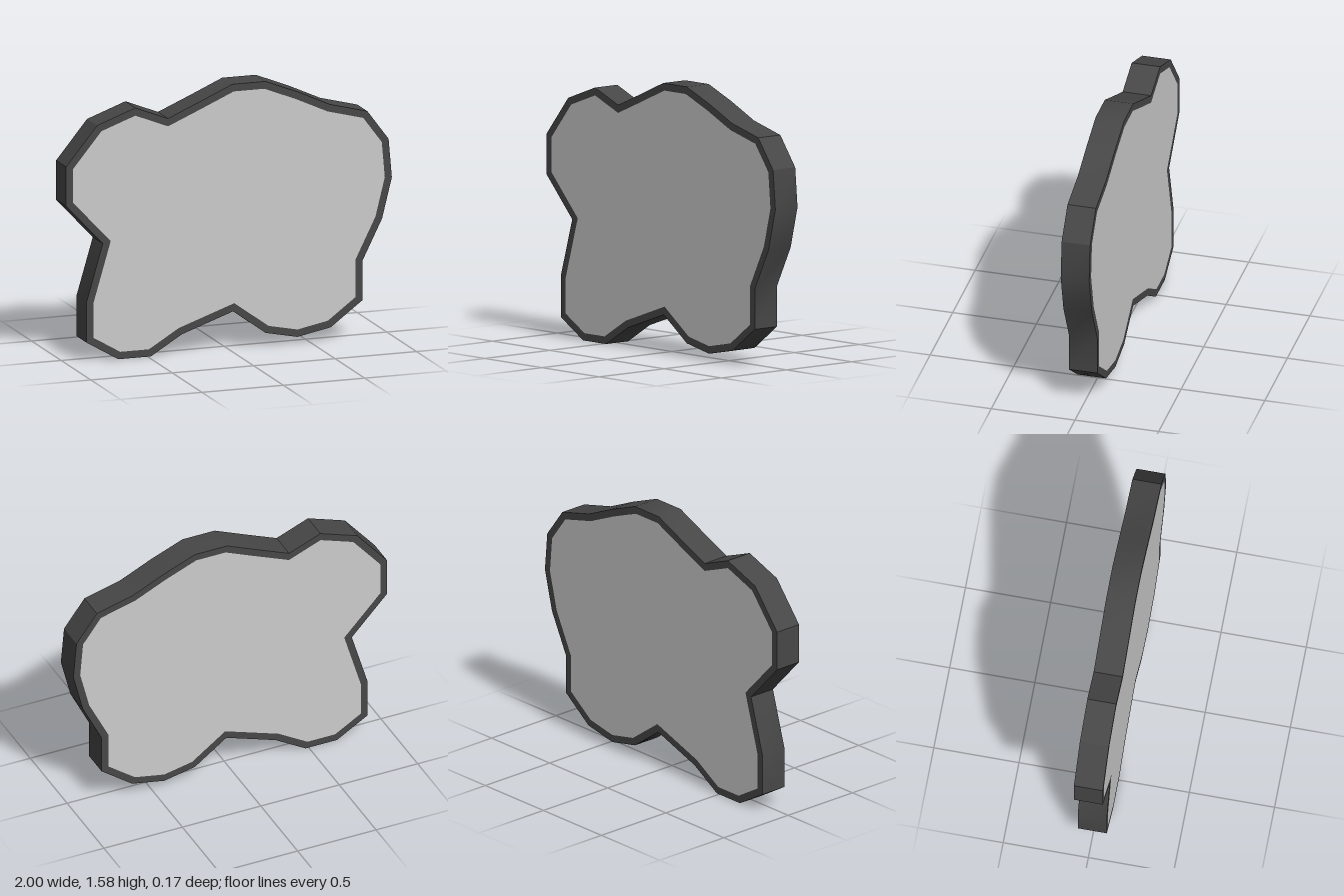
import * as THREE from 'three';
import { toCreasedNormals } from 'three/addons/utils/BufferGeometryUtils.js';

const DEPTH = 0.17;
const RIM = 0.043;

// Outer contour, clockwise seen from the front
const OUTLINE = [
  [-1, 1.17], [-0.81, 1.4], [-0.575, 1.485], [-0.375, 1.405], [-0.175, 1.49],
  [0.02, 1.575], [0.225, 1.575], [0.425, 1.495], [0.62, 1.405], [0.85, 1.345],
  [0.98, 1.17], [1, 0.94], [0.94, 0.7], [0.82, 0.46], [0.82, 0.225],
  [0.625, 0.08], [0.42, 0.04], [0.225, 0.08], [0.025, 0.225], [-0.29, 0.115],
  [-0.48, 0], [-0.68, 0], [-0.875, 0.115], [-0.875, 0.355], [-0.775, 0.695],
  [-1, 0.935],
].map(([x, y]) => new THREE.Vector2(x, y));

// Moves a clockwise contour inward by an even distance, with mitred corners
function inset(points, distance) {
  const n = points.length;
  const normal = (a, b) => {
    const d = b.clone().sub(a).normalize();
    return new THREE.Vector2(d.y, -d.x);
  };
  return points.map((p, i) => {
    const n1 = normal(points[(i + n - 1) % n], p);
    const n2 = normal(p, points[(i + 1) % n]);
    const miter = n1.clone().add(n2).divideScalar(1 + n1.dot(n2));
    return p.clone().addScaledVector(miter, distance);
  });
}

// Extrudes a shape centred on z = 0, smooth over shallow corners only
function slab(name, shape, color) {
  const geometry = new THREE.ExtrudeGeometry(shape, { depth: DEPTH, bevelEnabled: false });
  geometry.translate(0, 0, -DEPTH / 2);
  const mesh = new THREE.Mesh(
    toCreasedNormals(geometry, THREE.MathUtils.degToRad(30)),
    new THREE.MeshStandardMaterial({ color })
  );
  mesh.name = name;
  return mesh;
}

export function createModel() {
  const group = new THREE.Group();
  group.name = 'cloudPanel';
  const inner = inset(OUTLINE, RIM);

  // Dark border around the edge
  const rimShape = new THREE.Shape(OUTLINE);
  rimShape.holes.push(new THREE.Path(inner));
  group.add(slab('rim', rimShape, 0x474747));

  // Light core, flush with the border on both faces
  group.add(slab('panel', new THREE.Shape(inner), 0xcccccc));

  return group;
}
